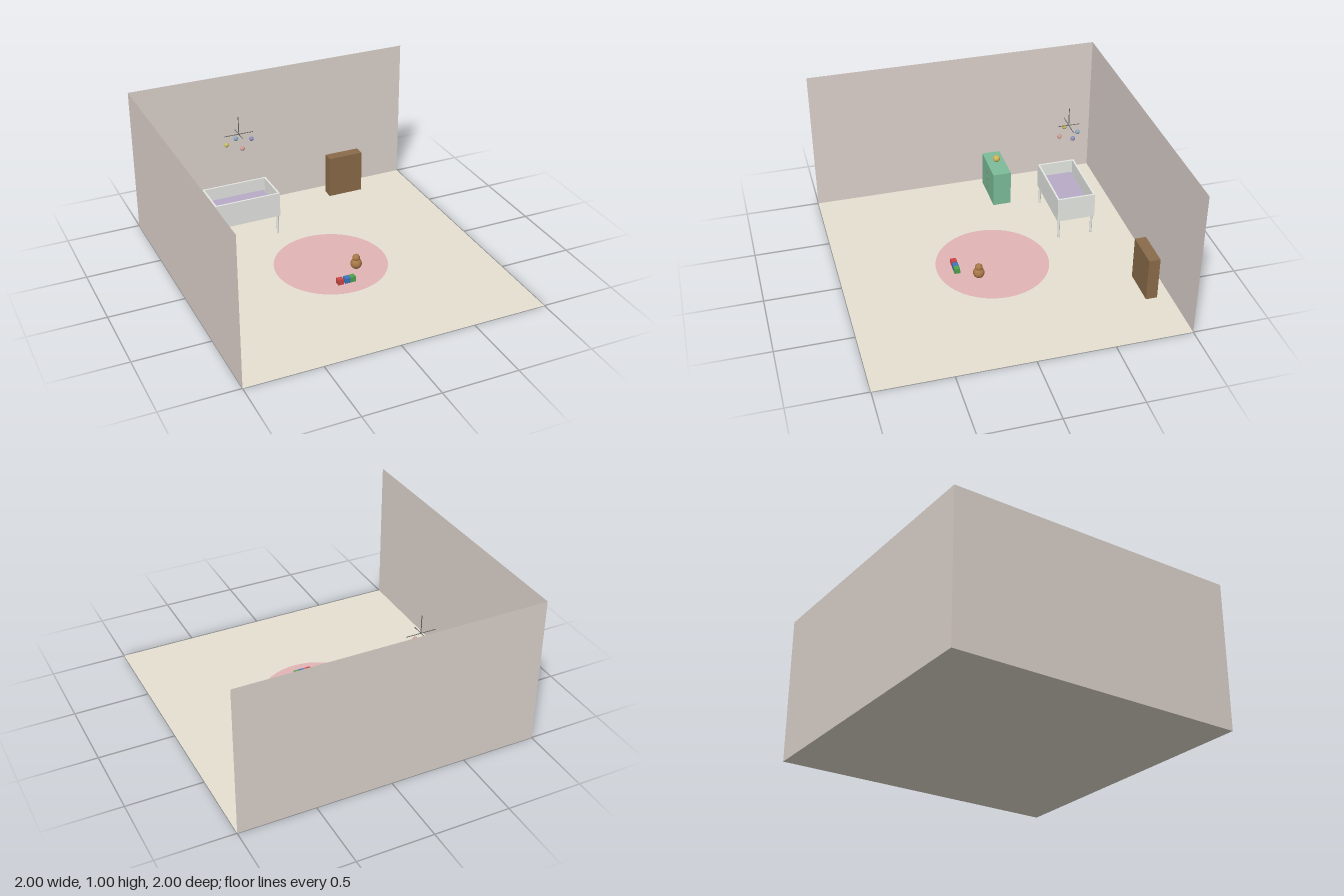
import * as THREE from 'three';

const material = (color, side = THREE.FrontSide) => new THREE.MeshStandardMaterial({ color, side });

const WALL = material(0xded3cd, THREE.DoubleSide);
const FLOOR = material(0xe6e1d1, THREE.DoubleSide);
const RUG = material(0xe3b5b6, THREE.DoubleSide);
const GREEN = material(0x7dbd9b);
const WOOD = material(0x8b6c4a);
const WHITE = material(0xe6e8e4);
const LILAC = material(0xb9abc8);
const METAL = material(0x666666);
const GOLD = material(0xd0b558);
const FUR = material(0xa87848);

function add(parent, name, geometry, mat, x = 0, y = 0, z = 0) {
  const mesh = new THREE.Mesh(geometry, mat);
  mesh.name = name;
  mesh.position.set(x, y, z);
  parent.add(mesh);
  return mesh;
}

function group(parent, name, x = 0, y = 0, z = 0) {
  const g = new THREE.Group();
  g.name = name;
  g.position.set(x, y, z);
  parent.add(g);
  return g;
}

const box = (w, h, d) => new THREE.BoxGeometry(w, h, d);
const ball = (r) => new THREE.SphereGeometry(r, 24, 16);
const rod = (r, h) => new THREE.CylinderGeometry(r, r, h, 12);

export function createModel() {
  const room = new THREE.Group();
  room.name = 'nursery';

  // Room shell: floor and two thin walls
  add(room, 'floor', new THREE.PlaneGeometry(2, 2), FLOOR).rotation.x = -Math.PI / 2;
  add(room, 'backWall', new THREE.PlaneGeometry(2, 1), WALL, 0, 0.5, -1);
  add(room, 'sideWall', new THREE.PlaneGeometry(2, 1), WALL, -1, 0.5, 0).rotation.y = Math.PI / 2;
  add(room, 'rug', new THREE.CircleGeometry(0.375, 48), RUG, 0, 0.0025, 0).rotation.x = -Math.PI / 2;

  // Dresser with three knobs and a round lamp
  const dresser = group(room, 'dresser', -0.8, 0.001, -0.25);
  add(dresser, 'dresserBody', box(0.3, 0.249, 0.125), GREEN, 0, 0.1245, 0);
  for (const y of [0.0625, 0.125, 0.1875]) {
    add(dresser, 'drawerKnob', ball(0.0075), WOOD, 0, y, 0.0625);
  }
  add(dresser, 'lamp', ball(0.025), GOLD, 0, 0.287, 0);

  // Crib: four panels, base, mattress and legs
  const crib = group(room, 'crib', -0.38, 0, -0.625);
  const W = 0.46, D = 0.26, T = 0.0125, H = 0.173, midY = 0.2265;
  for (const s of [-1, 1]) {
    add(crib, 'longPanel', box(W, H, T), WHITE, 0, midY, s * (D - T) / 2);
    add(crib, 'endPanel', box(T, H, D - 2 * T), WHITE, s * (W - T) / 2, midY, 0);
    for (const t of [-1, 1]) {
      add(crib, 'leg', rod(0.008, 0.15), WHITE, s * 0.2155, 0.075, t * 0.115);
    }
  }
  add(crib, 'base', box(W - 2 * T, 0.025, D - 2 * T), WHITE, 0, 0.1525, 0);
  add(crib, 'mattress', box(0.405, 0.065, 0.21), LILAC, 0, 0.1975, 0);

  // Hanging mobile: stem, crossed bars and four balls
  const mobile = group(room, 'mobile', -0.378, 0, -0.628);
  add(mobile, 'stem', rod(0.0028, 0.125), METAL, 0, 0.8025, 0);
  add(mobile, 'longBar', rod(0.0025, 0.2), METAL, 0, 0.74, 0).rotation.z = Math.PI / 2;
  add(mobile, 'shortBar', rod(0.0025, 0.15), METAL, 0, 0.74, 0).rotation.x = Math.PI / 2;
  const toys = [
    [-0.0875, 0.678, 0, 0xc9bd60],
    [0.0875, 0.69, 0, 0x8c90bd],
    [0, 0.664, 0.0625, 0xd19a94],
    [0, 0.68, -0.0625, 0x86a9c4],
  ];
  for (const [x, y, z, color] of toys) {
    add(mobile, 'mobileBall', ball(0.015), material(color), x, y, z);
  }

  // Low cupboard by the back wall
  add(room, 'cupboard', box(0.25, 0.299, 0.075), WOOD, 0.5, 0.1505, -0.875);

  // Toy blocks
  const blocks = [[-0.05, 0xcc4646], [-0.002, 0x3f74c0], [0.035, 0x4ea24e]];
  for (const [x, color] of blocks) {
    add(room, 'toyBlock', box(0.037, 0.0375, 0.0375), material(color), x, 0.022, 0.25);
  }

  // Stuffed toy
  const toy = group(room, 'stuffedToy', 0.124, 0, 0.125);
  add(toy, 'toyBody', ball(0.0375), FUR, 0, 0.041, 0);
  add(toy, 'toyHead', ball(0.025), FUR, 0, 0.083, 0);

  return room;
}
